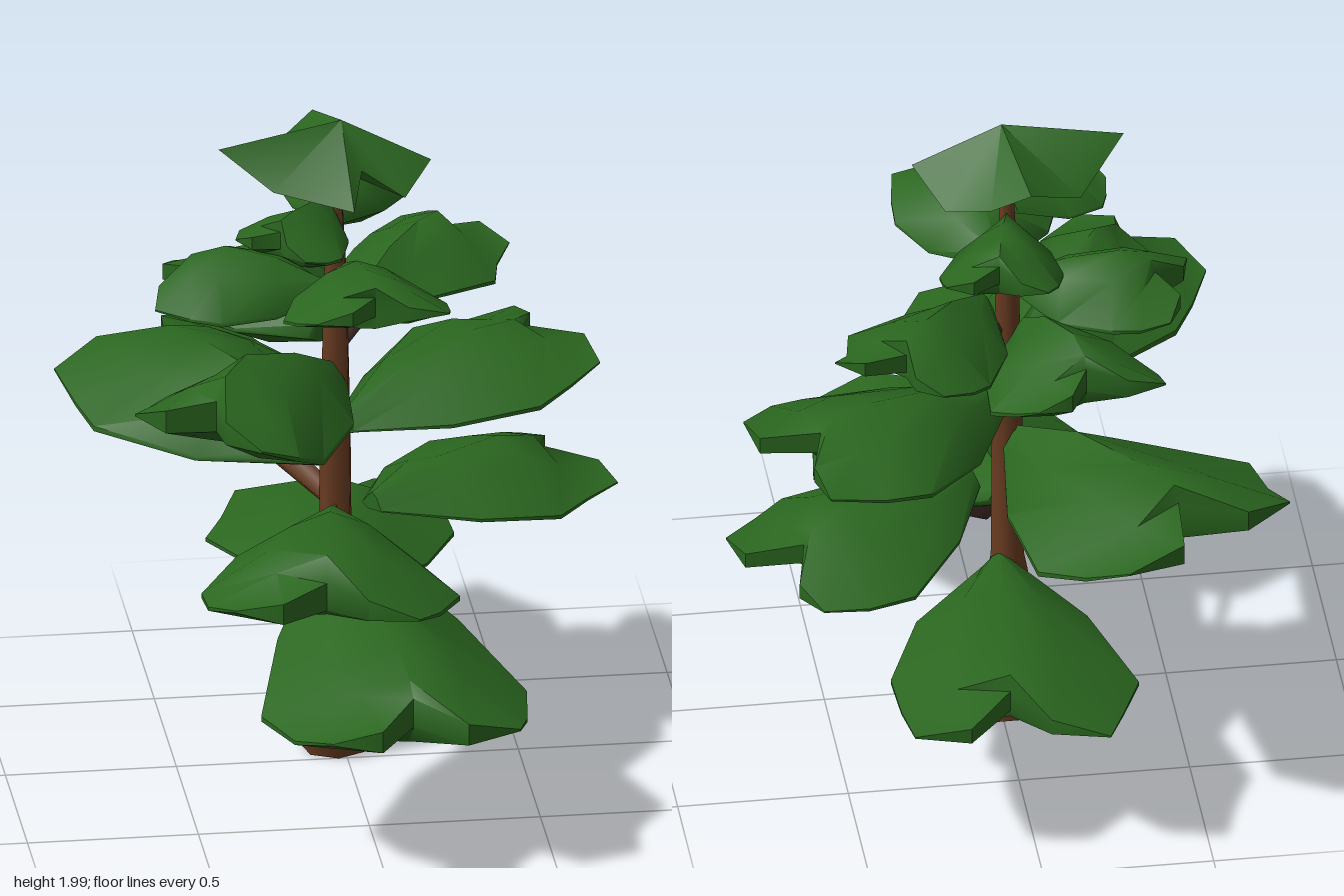
import * as THREE from 'three';
import { toCreasedNormals } from 'three/addons/utils/BufferGeometryUtils.js';

const needles = new THREE.MeshStandardMaterial({ name: 'needle green', color: 0x2a661f, side: THREE.DoubleSide });
const bark = new THREE.MeshStandardMaterial({ name: 'bark brown', color: 0x683b21 });
const darkBark = new THREE.MeshStandardMaterial({ name: 'dark bark', color: 0x412e27, side: THREE.DoubleSide });

const V = (p) => new THREE.Vector3(...p);

function makeGeometry(points, index) {
  const g = new THREE.BufferGeometry();
  g.setAttribute('position', new THREE.Float32BufferAttribute(points.flatMap((p) => p.toArray()), 3));
  g.setIndex(index);
  return toCreasedNormals(g, 0.9);
}

// Small repeatable variation so that no two boughs are the same
function seeded(seed) {
  let s = seed * 7919 + 17;
  return () => {
    s = (s * 16807) % 2147483647;
    return s / 2147483647 - 0.5;
  };
}

// Bough cross-sections, base to tip: position along it, width and depth shares
const ROWS = [
  { u: 0, w: 0.14, h: 0.3 },
  { u: 0.3, w: 0.72, h: 0.82 },
  { u: 0.62, w: 1, h: 1 },
  { u: 0.8, w: 0.9, h: 0.75 },
  { u: 1, w: 0.76, h: 0.35 },
];
// Lens-shaped section with drooping sides, and a notched tip
const ACROSS = [-1, -0.45, 0, 0.45, 1];
const TOP = [-0.24, 0.24, 0.5, 0.24, -0.24];
const UNDER = [-0.3, -0.46, -0.45, -0.46, -0.3];
const NOTCH = [-0.04, 0, -0.17, -0.02, 0];

function bough(base, tip, halfWidth, height, lift, seed) {
  const a = V(base), b = V(tip), rand = seeded(seed);
  const side = new THREE.Vector3(0, 1, 0).cross(b.clone().sub(a)).normalize();
  const top = [], under = [];
  ROWS.forEach((row, i) => ACROSS.forEach((v, j) => {
    const jag = i > 0 ? 0.05 * rand() : 0;
    const u = row.u + (i === 4 ? NOTCH[j] : 0) + jag;
    const p = a.clone().lerp(b, u).addScaledVector(side, halfWidth * row.w * v * (1 + 0.14 * rand()));
    p.y += 4 * u * (1 - u) * lift;
    const bump = 0.16 * rand();
    top.push(p.clone().setY(p.y + height * row.h * (TOP[j] + bump)));
    under.push(p.clone().setY(p.y + height * row.h * (UNDER[j] + bump)));
  }));
  const n = ACROSS.length, m = ROWS.length, off = n * m, index = [];
  for (let i = 0; i < m - 1; i++) {
    for (let j = 0; j < n - 1; j++) {
      const p = i * n + j, q = p + n;
      index.push(p, q, q + 1, p, q + 1, p + 1);
      index.push(off + p, off + q + 1, off + q, off + p, off + p + 1, off + q + 1);
    }
  }
  // Rim joining upper and lower sheets
  const rim = [];
  for (let i = 0; i < m - 1; i++) rim.push(i * n);
  for (let j = 0; j < n - 1; j++) rim.push((m - 1) * n + j);
  for (let i = m - 1; i > 0; i--) rim.push(i * n + n - 1);
  for (let j = n - 1; j > 0; j--) rim.push(j);
  rim.forEach((p, k) => {
    const q = rim[(k + 1) % rim.length];
    index.push(off + p, off + q, q, off + p, q, p);
  });
  return makeGeometry([...top, ...under], index);
}

// Base, tip, half width, depth, arch
const BOUGHS = {
  lowFrontBough: [[-0.03, 0.7, -0.03], [0.11, 0.49, 0.96], 0.38, 0.27, -0.07],
  lowBackBough: [[0, 0.51, -0.1], [0.08, 0.47, -0.94], 0.36, 0.2, 0],
  lowLeftBough: [[0.08, 0.79, -0.06], [0.72, 0.75, -0.44], 0.32, 0.19, 0.02],
  frontBough: [[-0.07, 0.86, 0.2], [-0.17, 0.84, 0.83], 0.36, 0.26, 0],
  backRightBough: [[-0.05, 0.94, -0.1], [-0.53, 1.03, -0.83], 0.38, 0.26, 0],
  leftBough: [[0, 1.05, -0.06], [0.68, 1.15, -0.44], 0.32, 0.21, 0.02],
  rightBough: [[-0.03, 1.2, -0.05], [-0.5, 1.27, 0.42], 0.31, 0.29, 0],
  upperBackBough: [[-0.07, 1.32, -0.1], [-0.23, 1.38, -0.58], 0.26, 0.23, 0],
  upperLeftBough: [[0.05, 1.42, -0.1], [0.38, 1.46, -0.52], 0.24, 0.18, 0],
  upperRightBough: [[-0.05, 1.46, -0.08], [-0.52, 1.47, -0.18], 0.23, 0.2, 0.02],
  upperFrontBough: [[0, 1.53, -0.05], [0.05, 1.58, 0.41], 0.25, 0.18, 0],
  highFrontBough: [[-0.04, 1.71, -0.05], [-0.25, 1.71, 0.17], 0.18, 0.16, 0],
  highBackBough: [[-0.02, 1.68, -0.09], [0.06, 1.72, -0.49], 0.19, 0.18, 0],
};

// Lopsided crown with a notched skirt: ring, apex, underside centre
function crown() {
  const ring = [
    [0.25, 1.87, -0.04], [0.17, 1.79, -0.18], [0.05, 1.84, -0.27], [-0.06, 1.92, -0.33],
    [-0.22, 1.83, -0.22], [-0.37, 1.93, -0.05], [-0.22, 1.82, 0.03], [0, 1.8, 0.16],
    [0.04, 1.87, 0.02], [0.16, 1.8, 0.07],
  ];
  const n = ring.length, index = [];
  for (let k = 0; k < n; k++) {
    const q = (k + 1) % n;
    index.push(n, k, q, n + 1, q, k);
  }
  return makeGeometry([...ring, [-0.01, 2, -0.06], [-0.02, 1.84, -0.07]].map(V), index);
}

// Flared trunk, its foot shifted towards the back
function trunk() {
  const profile = [[0, 0.01], [0.1, 0.01], [0.115, 0.07], [0.085, 0.33], [0.05, 0.52], [0.046, 1], [0.034, 1.5], [0.014, 1.87], [0, 1.87]];
  const g = new THREE.LatheGeometry(profile.map(([r, y]) => new THREE.Vector2(r, y)), 7);
  const pos = g.attributes.position;
  for (let i = 0; i < pos.count; i++) {
    const foot = Math.max(0, 1 - pos.getY(i) / 0.5);
    pos.setXYZ(i, pos.getX(i) - 0.025, pos.getY(i), pos.getZ(i) - 0.068 - 0.03 * foot);
  }
  return toCreasedNormals(g, 0.95);
}

function branch(from, to, r0, r1) {
  const a = V(from), b = V(to), dir = b.clone().sub(a);
  const g = new THREE.CylinderGeometry(r1, r0, dir.length(), 6);
  g.applyQuaternion(new THREE.Quaternion().setFromUnitVectors(new THREE.Vector3(0, 1, 0), dir.normalize()));
  const mid = a.add(b).multiplyScalar(0.5);
  return g.translate(mid.x, mid.y, mid.z);
}

export function createModel() {
  const tree = new THREE.Group();
  tree.name = 'tree';
  const add = (name, geometry, material) => {
    const mesh = new THREE.Mesh(geometry, material);
    mesh.name = name;
    tree.add(mesh);
  };

  add('trunk', trunk(), bark);
  add('frontTwig', branch([-0.03, 0.79, -0.05], [-0.08, 0.85, 0.28], 0.008, 0.016), bark);
  add('backRightBranch', branch([-0.03, 0.8, -0.07], [-0.2, 0.9, -0.33], 0.03, 0.045), bark);
  add('lowFrontBranch', branch([-0.03, 0.7, -0.04], [0.02, 0.54, 0.25], 0.02, 0.1), darkBark);
  add('upperLeftBranch', branch([-0.01, 1.29, -0.07], [0.13, 1.42, -0.2], 0.02, 0.035), darkBark);

  Object.entries(BOUGHS).forEach(([name, spec], i) => add(name, bough(...spec, i + 1), needles));
  add('crown', crown(), needles);
  return tree;
}
